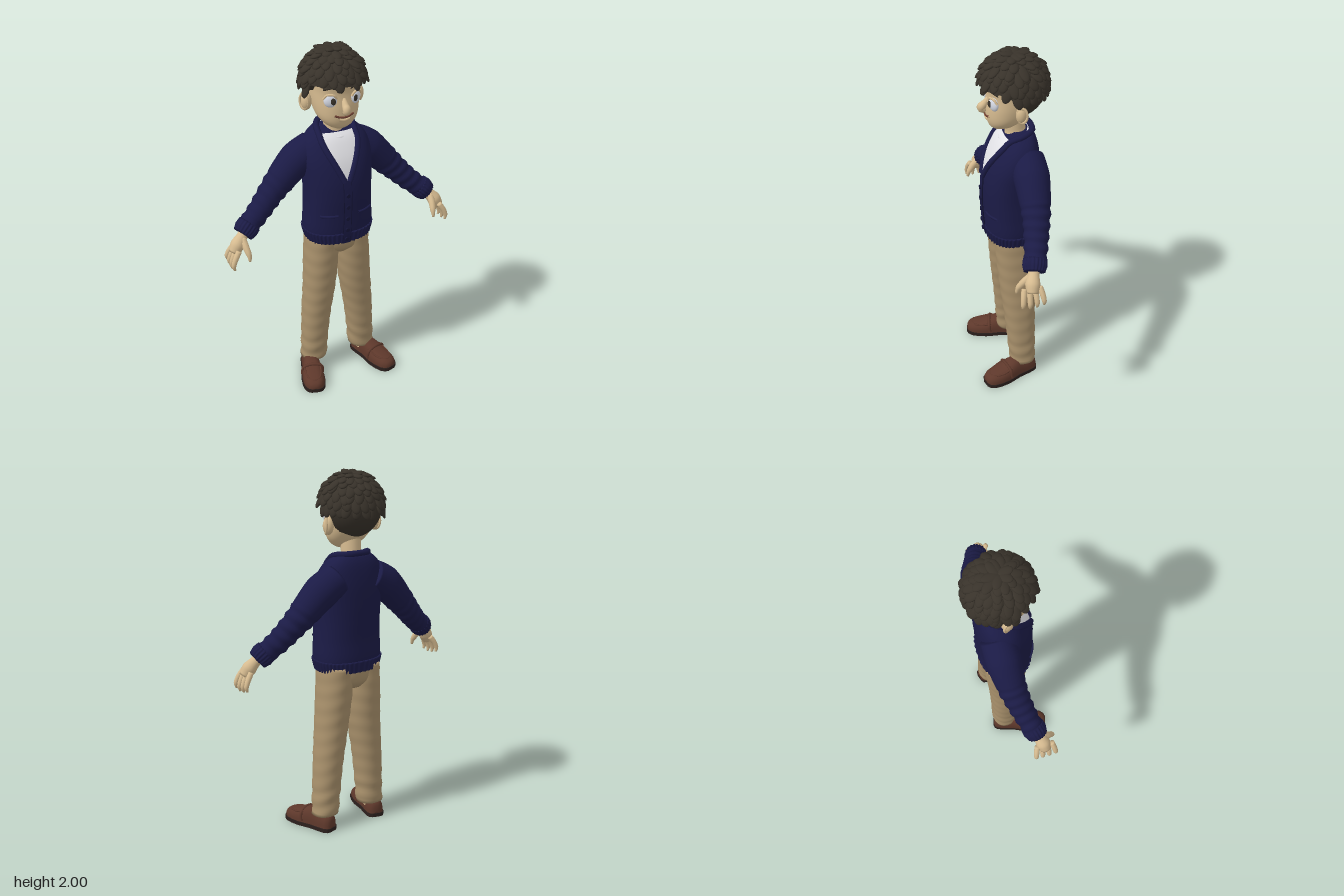
import * as THREE from 'three';
import { mergeGeometries } from 'three/addons/utils/BufferGeometryUtils.js';

const V = (x, y, z) => new THREE.Vector3(x, y, z);
const mat = (name, color) => Object.assign(new THREE.MeshStandardMaterial({ color, side: THREE.DoubleSide }), { name });
const M = {
  knit: mat('navy knit', 0x1b1b46), trim: mat('dark navy trim', 0x141436), trousers: mat('khaki', 0xa8906b),
  skin: mat('skin', 0xd6bb90), hair: mat('dark brown hair', 0x38322a), shoe: mat('brown leather', 0x5e382b),
  sole: mat('dark sole', 0x2c201d), shirt: mat('white cotton', 0xe4e4e8), eye: mat('eye white', 0xd9dde8), mouth: mat('mouth', 0x6e3f32),
};
function put(parent, name, obj, x = 0, y = 0, z = 0, turn = 0) {
  obj.name = name;
  obj.position.set(x, y, z);
  obj.rotation.y = turn;
  parent.add(obj);
  return obj;
}
const add = (parent, name, geo, material, p = V(0, 0, 0)) => put(parent, name, new THREE.Mesh(geo, material), p.x, p.y, p.z);
const group = (parent, name, ...place) => put(parent, name, new THREE.Group(), ...place);

// Skin a list of closed rings, closing both ends to their centres
function loft(rings) {
  const n = rings[0].length, idx = [];
  const [first, last] = [rings[0], rings.at(-1)].map(r => r.map(() => r.reduce((s, p) => s.add(p), V(0, 0, 0)).divideScalar(n)));
  const all = [first, ...rings, last];
  for (let i = 0; i < all.length - 1; i++) for (let j = 0; j < n; j++) {
    const a = i * n + j, b = i * n + (j + 1) % n;
    idx.push(a, a + n, b, b, a + n, b + n);
  }
  const g = new THREE.BufferGeometry().setFromPoints(all.flat()).setIndex(idx);
  g.computeVertexNormals();
  return g;
}
const circle = (n, fn) => Array.from({ length: n }, (_, j) => fn(j / n * Math.PI * 2));

// Smoothly interpolate rows of [y, halfWidth, zFront, zBack, centreX]
function sample(S, y) {
  let i = 0;
  while (i < S.length - 2 && y > S[i + 1][0]) i++;
  const h = S[i + 1][0] - S[i][0], t = Math.min(1, Math.max(0, (y - S[i][0]) / h)), t2 = t * t, t3 = t2 * t;
  const slope = (a, b, c) => (b[c] - a[c]) / (b[0] - a[0]);
  return S[i].map((v, c) => v * (2 * t3 - 3 * t2 + 1) + S[i + 1][c] * (3 * t2 - 2 * t3)
    + h * slope(S[Math.max(0, i - 1)], S[i + 1], c) * (t3 - 2 * t2 + t) + h * slope(S[i], S[Math.min(S.length - 1, i + 2)], c) * (t3 - t2));
}
const pw = (v, e) => Math.sign(v) * Math.abs(v) ** e;
function column(S, y0, y1, e = 0.85, rows = 36, n = 48, ripple = () => 0) {
  return loft(Array.from({ length: rows + 1 }, (_, i) => {
    const [y, rx, zf, zb, cx] = sample(S, y0 + (y1 - y0) * i / rows);
    return circle(n, a => V(cx + (rx + ripple(y, a)) * pw(Math.cos(a), e), y, (zf + zb) / 2 + ((zf - zb) / 2 + ripple(y, a)) * pw(Math.sin(a), e)));
  }));
}
// Front surface of a column, and a thin patch lying on it
function frontZ(S, x, y, e = 0.85) {
  const [, rx, zf, zb, cx] = sample(S, y), c = Math.min(1, Math.abs(x - cx) / rx) ** (1 / e);
  return (zf + zb) / 2 + (zf - zb) / 2 * Math.sqrt(1 - c * c) ** e;
}
function patch(S, y0, y1, xa, xb, off) {
  const g = new THREE.PlaneGeometry(1, 1, 12, 20), p = g.attributes.position;
  for (let i = 0; i < p.count; i++) {
    const y = y0 + (y1 - y0) * (p.getY(i) + 0.5), x = xa(y) + (xb(y) - xa(y)) * (p.getX(i) + 0.5);
    p.setXYZ(i, x, y, frontZ(S, x, y) + off);
  }
  g.computeVertexNormals();
  return g;
}
// Tapered round limb along a curve
function limb(pts, radii, steps = 14, n = 16, ripple = () => 0) {
  const c = new THREE.CatmullRomCurve3(pts), f = c.computeFrenetFrames(steps);
  return loft(Array.from({ length: steps + 1 }, (_, i) => {
    const t = i / steps, q = t * (radii.length - 1), k = Math.min(radii.length - 2, Math.floor(q));
    const p = c.getPointAt(t), r = THREE.MathUtils.lerp(radii[k], radii[k + 1], q - k);
    return circle(n, a => p.clone().addScaledVector(f.normals[i], (r + ripple(t, a)) * Math.cos(a))
      .addScaledVector(f.binormals[i], -(r + ripple(t, a)) * Math.sin(a)));
  }));
}
const tube = (pts, r, closed = false) => new THREE.TubeGeometry(new THREE.CatmullRomCurve3(pts, closed), 40, r, 8, closed);
const ball = (rx, ry, rz, n = 24) => new THREE.SphereGeometry(1, n, n * 0.75).scale(rx, ry, rz);

const TORSO = [[0.92, 0.178, 0.128, -0.14, 0], [0.99, 0.194, 0.138, -0.15, 0], [1.1, 0.19, 0.142, -0.148, 0], [1.2, 0.187, 0.145, -0.152, 0],
  [1.3, 0.19, 0.138, -0.156, 0], [1.4, 0.195, 0.112, -0.156, 0], [1.48, 0.18, 0.072, -0.148, 0], [1.53, 0.145, 0.034, -0.136, 0], [1.565, 0.095, -0.015, -0.118, 0]];
const SEAT = [[0.82, 0.06, 0.06, -0.1, 0], [0.86, 0.14, 0.095, -0.13, 0], [0.96, 0.172, 0.105, -0.135, 0]];
const HEAD = [[1.583, 0.035, 0.08, 0.01, -0.012], [1.6, 0.068, 0.1, -0.03, -0.012], [1.64, 0.103, 0.115, -0.08, -0.012], [1.7, 0.121, 0.118, -0.13, -0.012],
  [1.78, 0.128, 0.11, -0.16, -0.012], [1.86, 0.125, 0.115, -0.16, -0.012], [1.93, 0.085, 0.07, -0.11, -0.012]];

function buildCardigan(g) {
  const on = (x, y, off) => V(x, y, frontZ(TORSO, x, y) + off), w = y => Math.min(0.088, (y - 1.3) * 0.46 + 0.002);
  add(g, 'cardigan body', column(TORSO, 0.95, 1.565, 0.85, 40, 56), M.knit);
  add(g, 'ribbed hem', column(TORSO, 0.915, 0.985, 0.85, 8, 180, (y, a) => 0.004 + 0.004 * Math.cos(a * 45)), M.knit);
  add(g, 'shirt front', patch(TORSO, 1.302, 1.54, y => -0.008 - w(y), y => -0.008 + w(y), 0.005), M.shirt);
  add(g, 'shirt neckband', tube(circle(8, a => V(-0.006 + 0.07 * Math.cos(a), 1.537 - 0.025 * Math.sin(a), -0.035 + 0.078 * Math.sin(a))), 0.012, true), M.shirt);
  // collar runs down both lapels and round the back of the neck
  const lapel = s => [1.3, 1.35, 1.4, 1.45, 1.5, 1.535].map(y => on(-0.008 + s * (w(y) + 0.012), y, 0.003));
  add(g, 'collar', tube([...lapel(-1), V(-0.1, 1.562, -0.05), V(-0.06, 1.57, -0.107), V(0, 1.572, -0.12),
    V(0.06, 1.57, -0.107), V(0.1, 1.562, -0.05), ...lapel(1).reverse()], 0.017), M.knit);
  add(g, 'button band', patch(TORSO, 0.92, 1.3, () => -0.03, () => 0.014, 0.009), M.knit);
  for (const x of [-0.03, 0.014]) add(g, 'band edge', tube([0.92, 1.05, 1.18, 1.3].map(y => on(x, y, 0.006)), 0.004), M.trim);
  for (const y of [0.95, 1.01, 1.08, 1.15, 1.22])
    add(g, 'button', new THREE.CylinderGeometry(0.011, 0.012, 0.009, 16).rotateX(Math.PI / 2), M.trim, on(-0.008, y, 0.012));
  for (const x of [-0.105, 0.105]) {
    add(g, 'pocket', patch(TORSO, 0.995, 1.1, () => x - 0.045, () => x + 0.045, 0.006), M.knit);
    add(g, 'pocket welt', tube([-0.045, 0, 0.045].map(d => on(x + d, 1.1, 0.004)), 0.007), M.knit);
  }
}

function buildArm(g, s) {
  const P = (x, y, z) => V(s * x, y, z);
  add(g, 'sleeve', limb([P(0.11, 1.435, -0.07), P(0.2, 1.385, -0.068), P(0.34, 1.25, -0.055), P(0.45, 1.14, -0.025), P(0.535, 1.07, 0.005)],
    [0.09, 0.095, 0.083, 0.07, 0.062, 0.056], 48, 24, (t, a) => t > 0.45 ? 0.004 * Math.sin(t * 62 + Math.sin(a) * 1.6) : 0), M.knit);
  add(g, 'cuff', limb([P(0.51, 1.092, -0.004), P(0.535, 1.07, 0.005), P(0.558, 1.048, 0.013)], [0.06, 0.062, 0.052], 8, 80, (t, a) => 0.003 * Math.cos(a * 20)), M.knit);
  add(g, 'palm', limb([P(0.535, 1.07, 0.006), P(0.565, 1.04, 0.02), P(0.595, 1.005, 0.032), P(0.62, 0.965, 0.04)], [0.03, 0.03, 0.04, 0.03]), M.skin);
  [0.9, 0.995, 1.03, 0.96].forEach((l, i) => {
    const z = -0.002 + i * 0.027, d = (i - 1.5) * 0.007;
    add(g, 'finger', limb([P(0.605, 0.99, z), P(0.632, 0.99 - 0.045 * l, z + d), P(0.643, 0.99 - 0.08 * l, z + d * 1.4), P(0.638, 0.99 - 0.104 * l, z + d * 1.5)],
      [0.015, 0.0155, 0.0145, 0.013, 0.006], 12, 10), M.skin);
  });
  add(g, 'thumb', limb([P(0.568, 1.035, 0.035), P(0.562, 0.995, 0.075), P(0.556, 0.96, 0.098), P(0.556, 0.93, 0.106)], [0.02, 0.019, 0.016, 0.007], 12, 10), M.skin);
}

function buildLeg(g, s) {
  const row = (y, c, r, zf, zb) => [y, r, zf, zb, s * c + (s > 0 ? Math.max(0, 0.038 * (1 - y / 0.85)) : 0)];
  const LEG = [row(0.09, 0.137, 0.075, 0.035, -0.11), row(0.2, 0.134, 0.076, 0.045, -0.112), row(0.4, 0.123, 0.082, 0.06, -0.115),
    row(0.6, 0.105, 0.09, 0.08, -0.12), row(0.8, 0.094, 0.093, 0.095, -0.132), row(0.95, 0.088, 0.09, 0.1, -0.135)];
  add(g, 'trouser leg', column(LEG, 0.09, 0.95, 0.9, 50, 36, (y, a) => (y < 0.26 ? 0.003 : 0.0012) * Math.sin(y * 70 + 2 * Math.sin(a + s))), M.trousers);
  const x = s > 0 ? 0.215 : -0.187;
  add(g, 'ankle', new THREE.CylinderGeometry(0.042, 0.045, 0.09, 20), M.skin, V(x - s * 0.028, 0.095, -0.03));
  // loafer, toes turned out; rows of [z, halfWidth, height]
  const shoe = group(g, 'shoe', x, 0, 0.048, s * 0.28);
  const SH = [[0.163, 0.02, 0.025], [0.153, 0.04, 0.04], [0.13, 0.055, 0.052], [0.09, 0.063, 0.06], [0.04, 0.064, 0.072], [0, 0.058, 0.092],
    [-0.04, 0.051, 0.1], [-0.09, 0.05, 0.083], [-0.135, 0.047, 0.08], [-0.155, 0.037, 0.072], [-0.163, 0.02, 0.05]];
  const half = k => SH.map(([z, w]) => new THREE.Vector2(k * (w + 0.004), -z * 1.02));
  add(shoe, 'shoe upper', loft(SH.map(([z, w, h]) => circle(32, a => V(w * pw(Math.cos(a), 0.75), 0.018 + h * Math.max(0, pw(Math.sin(a), 0.75)), z)))), M.shoe);
  const outline = new THREE.Shape([...half(1), ...half(-1).reverse()]);
  add(shoe, 'sole', new THREE.ExtrudeGeometry(outline, { depth: 0.022, bevelEnabled: false }).rotateX(-Math.PI / 2), M.sole);
  add(shoe, 'apron seam', tube([V(-0.045, 0.086, 0.01), V(-0.044, 0.07, 0.07), V(-0.028, 0.065, 0.118), V(0, 0.064, 0.133),
    V(0.028, 0.065, 0.118), V(0.044, 0.07, 0.07), V(0.045, 0.086, 0.01)], 0.006), M.shoe);
  add(shoe, 'strap', tube([V(-0.061, 0.03, 0.02), V(-0.052, 0.08, 0.025), V(0, 0.098, 0.028), V(0.052, 0.08, 0.025), V(0.061, 0.03, 0.02)], 0.009), M.shoe);
}

function buildHair(g) {
  const C = V(-0.012, 1.812, -0.028), R = V(0.162, 0.17, 0.17), ss = THREE.MathUtils.smoothstep, tufts = [];
  const rim = z => 1.62 + 0.165 * ss(z, -0.075, -0.045) + 0.045 * ss(z, 0.0, 0.04);
  const cap = ball(R.x, R.y, R.z, 52).translate(C.x, C.y, C.z), p = cap.attributes.position;
  for (let i = 0; i < p.count; i++) p.setY(i, Math.max(p.getY(i), rim(p.getZ(i))));
  cap.computeVertexNormals();
  add(g, 'hair cap', cap, M.hair);
  // overlapping leaf-shaped tufts radiating from the crown
  let seed = 7;
  const rnd = () => (seed = seed * 16807 % 2147483647) / 2147483647;
  for (let r = 0; r < 8; r++) {
    const phi = 0.1 + r * 0.205, count = Math.round(4 + 19 * Math.sin(phi));
    for (let k = 0; k < count; k++) {
      const a = (k + (r % 2) / 2 + rnd() * 0.5) / count * Math.PI * 2, f = phi + (rnd() - 0.5) * 0.1;
      const n = V(Math.sin(f) * Math.cos(a), Math.cos(f), Math.sin(f) * Math.sin(a)), pos = n.clone().multiply(R).add(C);
      if (pos.y < rim(pos.z) + 0.025) continue;
      const dir = V(Math.cos(f) * Math.cos(a), -Math.sin(f), Math.cos(f) * Math.sin(a)).addScaledVector(n, 0.12 + rnd() * 0.2)
        .addScaledVector(V(-Math.sin(a), 0, Math.cos(a)), (rnd() - 0.5) * 0.7).normalize();
      const side = V().crossVectors(dir, n).normalize(), up = V().crossVectors(side, dir), L = 0.07 + rnd() * 0.025;
      const leaf = ball(0.026, L / 2, 0.012, 12).translate(0, L * 0.2, 0);
      tufts.push(leaf.applyMatrix4(new THREE.Matrix4().makeBasis(side, dir, up).setPosition(pos)));
    }
  }
  add(g, 'hair tufts', mergeGeometries(tufts), M.hair);
}

function buildHead(g) {
  const cx = -0.012, at = (x, y, off) => V(cx + x, y, frontZ(HEAD, cx + x, y) + off);
  add(g, 'neck', limb([V(-0.006, 1.47, -0.045), V(-0.006, 1.55, -0.038), V(-0.01, 1.66, -0.025)], [0.075, 0.054, 0.056], 14, 24), M.skin);
  add(g, 'face', column(HEAD, 1.583, 1.93, 0.9), M.skin);
  add(g, 'nose', limb([at(0, 1.76, -0.012), at(0, 1.725, 0.008), at(0, 1.703, 0.026), at(0, 1.685, 0.005)], [0.01, 0.017, 0.022, 0.016]), M.skin);
  add(g, 'mouth', tube([at(-0.055, 1.672, 0.001), at(-0.025, 1.662, 0.002), at(0.01, 1.66, 0.002), at(0.05, 1.672, 0.001)], 0.0055), M.mouth);
  add(g, 'lower lip', tube([at(-0.028, 1.648, -0.002), at(0, 1.643, 0), at(0.028, 1.648, -0.002)], 0.008), M.skin);
  for (const s of [-1, 1]) {
    const eye = group(g, 'eye', ...at(s * 0.07, 1.752, -0.005), s * 0.42);
    add(eye, 'eyeball', ball(0.034, 0.037, 0.018), M.eye);
    add(eye, 'iris', ball(0.014, 0.018, 0.005), M.hair, V(-s * 0.015, 0, 0.0155));
    add(eye, 'eyelid', tube([V(-0.034, 0.012, 0.004), V(-0.017, 0.032, 0.01), V(0.017, 0.032, 0.01), V(0.034, 0.012, 0.004)], 0.006), M.skin);
    add(g, 'eyebrow', tube([at(s * 0.032, 1.812, 0.002), at(s * 0.065, 1.823, 0.002), at(s * 0.1, 1.81, 0.002)], 0.007), M.hair);
    const ear = group(g, 'ear', cx + s * 0.148, 1.717, -0.032, s * 0.35);
    add(ear, 'ear body', ball(0.028, 0.047, 0.03), M.skin);
    add(ear, 'ear rim', new THREE.TorusGeometry(1, 0.22, 8, 28).scale(0.027, 0.041, 0.03).rotateY(s * 0.75), M.skin, V(s * 0.013, 0.002, 0.006));
  }
  buildHair(g);
}

export function createModel() {
  const model = group(new THREE.Group(), 'standing young man');
  model.removeFromParent();
  buildHead(group(model, 'head'));
  buildCardigan(group(model, 'cardigan'));
  add(model, 'trouser seat', column(SEAT, 0.82, 0.96, 0.85, 12), M.trousers);
  for (const [s, side] of [[-1, 'right'], [1, 'left']]) {
    buildArm(group(model, side + ' arm'), s);
    buildLeg(group(model, side + ' leg'), s);
  }
  return model;
}
